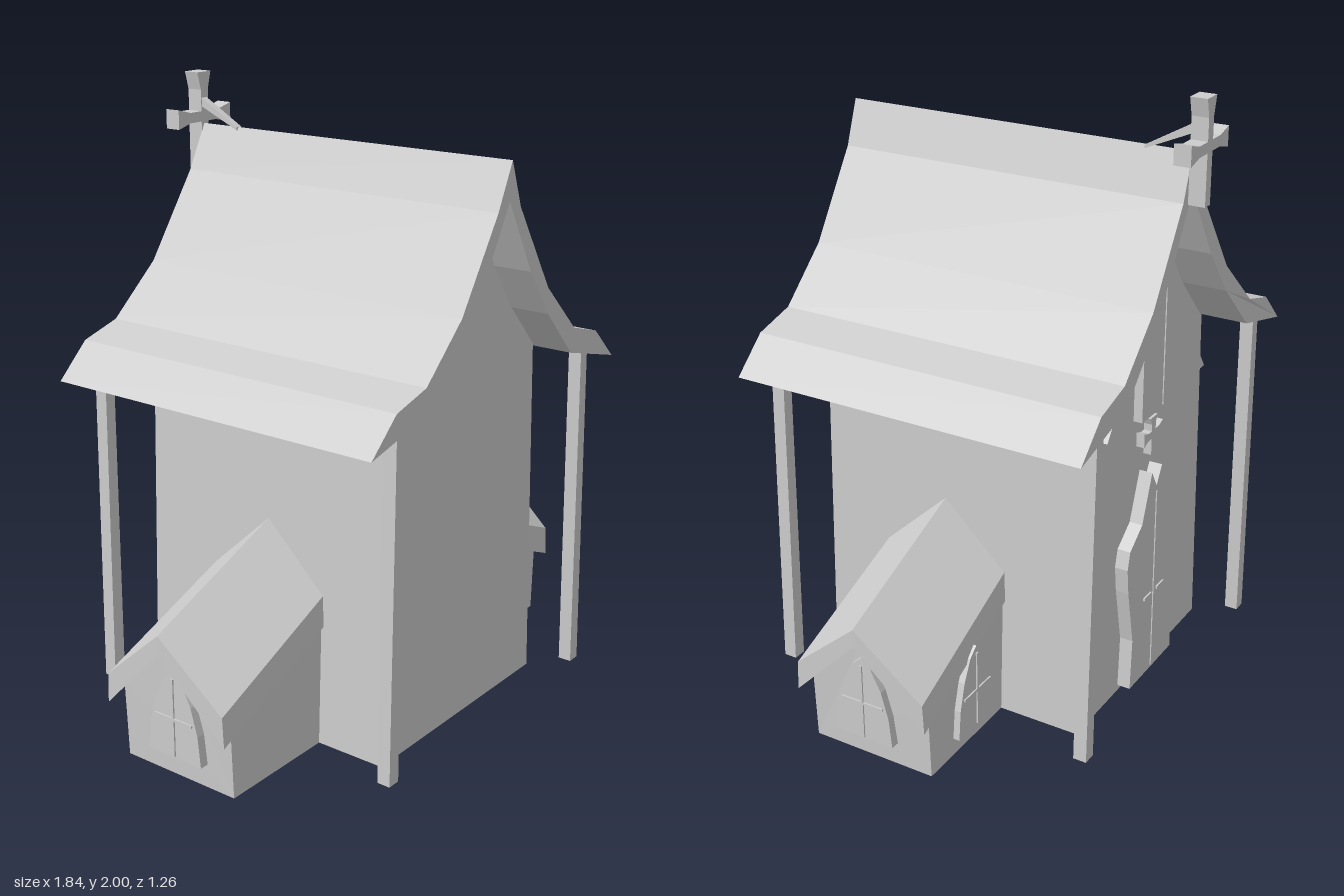
import * as THREE from 'three';

const stone = new THREE.MeshStandardMaterial({ color: 0xcccccc });
stone.name = 'pale grey';

// Flat-faced prism of an outline between z0 and z1, optionally reshaped by a rule on each vertex
function slab(name, points, z0, z1, rule) {
  const shape = new THREE.Shape(points.map(([x, y]) => new THREE.Vector2(x, y)));
  const geo = new THREE.ExtrudeGeometry(shape, { depth: z1 - z0, bevelEnabled: false });
  geo.translate(0, 0, z0);
  if (rule) {
    const p = geo.attributes.position;
    const v = new THREE.Vector3();
    for (let i = 0; i < p.count; i++) {
      v.fromBufferAttribute(p, i);
      rule(v);
      p.setXYZ(i, v.x, v.y, v.z);
    }
    geo.computeVertexNormals();
  }
  const mesh = new THREE.Mesh(geo, stone);
  mesh.name = name;
  return mesh;
}

function box(name, w, h, d, x, y, z) {
  const mesh = new THREE.Mesh(new THREE.BoxGeometry(w, h, d), stone);
  mesh.name = name;
  mesh.position.set(x, y, z);
  return mesh;
}

// Closes a half outline (x >= 0, bottom to top) with its mirror image
function mirrored(half) {
  const other = half.filter(([x]) => x > 0).map(([x, y]) => [-x, y]).reverse();
  return [...half, ...other];
}

// Cross with flared arms, centred on its crossing
function flaredCross(name, arm, up, down, t, flare, depth) {
  const g = new THREE.Group();
  g.name = name;
  const half = [[t, -down], [t, -t], [arm * 0.55, -t], [arm, -flare], [arm, flare],
    [arm * 0.55, t], [t, t], [t, up * 0.6], [flare, up]];
  g.add(slab(name + 'Body', mirrored(half), -depth / 2, depth / 2));
  return g;
}

// Pointed window facing +z, standing on y = 0
function archWindow(name) {
  const g = new THREE.Group();
  g.name = name;
  const half = [[0.105, 0], [0.095, 0.1], [0.07, 0.19], [0.035, 0.26], [0, 0.29]];
  g.add(slab('windowPanel', mirrored(half), -0.01, 0.02));
  g.add(box('windowUpright', 0.008, 0.26, 0.006, 0, 0.135, 0.022));
  g.add(box('windowCrossbar', 0.15, 0.008, 0.006, 0, 0.13, 0.022));
  return g;
}

// Side wing built toward +x
function sideWing() {
  const g = new THREE.Group();
  g.name = 'sideWing';
  const outer = 0.85, slope = 0.4, ridgeZ = 0.045;
  const walls = slab('wingWalls',
    [[-0.215, 0], [0.215, 0], [0.215, 0.26], [0, 0.46], [-0.215, 0.26]], 0.3, outer, (v) => {
      if (v.y > 0.1) v.y += slope * (outer - v.z);
      else if (v.z > 0.5) v.z -= 0.01;
    });
  // Chevron roof falling away from the main wall
  const roof = slab('wingRoof',
    [[-0.235, 0.2], [0, 0.44], [0.235, 0.2], [0.23, 0.3], [0, 0.5], [-0.23, 0.3]], 0.38, 0.92, (v) => {
      v.y += slope * (0.92 - v.z);
      if (v.z > 0.9) v.z -= 0.08 * Math.abs(v.x);
      else v.x *= 0.95;
    });
  for (const part of [walls, roof]) {
    part.rotation.y = Math.PI / 2;
    part.position.z = ridgeZ;
    g.add(part);
  }
  const endWindow = archWindow('endWindow');
  endWindow.rotation.y = Math.PI / 2;
  endWindow.position.set(0.853, 0.08, 0.055);
  const sideWindow = archWindow('sideWindow');
  sideWindow.rotation.y = Math.PI;
  sideWindow.position.set(0.61, 0.06, -0.172);
  g.add(endWindow, sideWindow);
  return g;
}

export function createModel() {
  const model = new THREE.Group();
  model.name = 'chapel';

  // Tapering main hall with a curved gable
  model.add(slab('hall',
    mirrored([[0.43, 0], [0.39, 1.19], [0.24, 1.35], [0.13, 1.51], [0.012, 1.74]]), -0.45, 0.49));

  // Sagging roof, sheared a little along its length
  const top = [[0.66, 1.09], [0.545, 1.2], [0.405, 1.24], [0.235, 1.405], [0.06, 1.685]];
  const under = [[0.13, 1.475], [0.24, 1.32], [0.39, 1.16]];
  const flip = (list) => list.map(([x, y]) => [-x, y]).reverse();
  const roofOutline = [...top, [0.008, 1.83], ...flip(top), ...flip(under), [0, 1.71], ...under];
  model.add(slab('roof', roofOutline, -0.5, 0.5, (v) => {
    const left = THREE.MathUtils.clamp(-v.x / 0.4, 0, 1);
    v.z = v.z > 0 ? 0.618 + 0.018 * v.x : -0.58 - 0.035 * left;
    v.x += 0.01;
  }));

  // Eave posts leaning inward
  for (const [name, bottomX, topX, z] of [
    ['rightFrontPost', 0.537, 0.507, 0.592], ['rightBackPost', 0.537, 0.507, -0.532],
    ['leftFrontPost', -0.508, -0.493, 0.571], ['leftBackPost', -0.508, -0.493, -0.576]]) {
    const w = 0.0225;
    model.add(slab(name, [[bottomX - w, 0.015], [bottomX + w, 0.015],
      [topX + w * 0.85, 1.15], [topX - w * 0.85, 1.15]], z - w, z + w));
  }

  // Side wings
  const rightWing = sideWing();
  const leftWing = sideWing();
  leftWing.scale.x = -1;
  leftWing.position.z = -0.013;
  model.add(rightWing, leftWing);

  // Ogee double door
  const door = new THREE.Group();
  door.name = 'door';
  door.add(slab('doorLeaves', mirrored([[0.15, 0.02], [0.14, 0.2], [0.18, 0.4], [0.19, 0.49],
    [0.175, 0.55], [0.095, 0.61], [0.065, 0.69], [0.035, 0.77], [0, 0.71]]), -0.495, -0.44));
  door.add(box('doorSeam', 0.006, 0.66, 0.006, 0, 0.36, -0.496));
  for (const s of [-1, 1]) door.add(box('doorHandle', 0.05, 0.01, 0.008, s * 0.045, 0.32, -0.497));
  model.add(door);

  // Small cross over the door
  const wallCross = flaredCross('wallCross', 0.065, 0.06, 0.07, 0.013, 0.024, 0.04);
  wallCross.position.set(0, 0.89, -0.458);
  model.add(wallCross);

  // Gable window with triangular side lights
  model.add(slab('gableWindow',
    mirrored([[0.14, 0.99], [0.14, 1.3], [0, 1.49]]), -0.505, -0.44));
  model.add(box('gableWindowSeam', 0.006, 0.44, 0.006, 0, 1.22, -0.506));
  for (const s of [-1, 1]) {
    model.add(slab('gableSideLight',
      [[s * 0.17, 1], [s * 0.34, 1], [s * 0.17, 1.24]], -0.49, -0.44));
  }

  // Ridge cross and its brace
  const ridgeCross = flaredCross('ridgeCross', 0.127, 0.145, 0.18, 0.017, 0.032, 0.055);
  ridgeCross.position.set(0.022, 1.853, -0.607);
  model.add(ridgeCross);
  const brace = slab('crossBrace',
    [[0.43, 1.82], [0.59, 1.89], [0.59, 1.92], [0.43, 1.83]], -0.012, 0.012);
  brace.rotation.y = Math.PI / 2;
  brace.position.x = 0.02;
  model.add(brace);

  return model;
}
